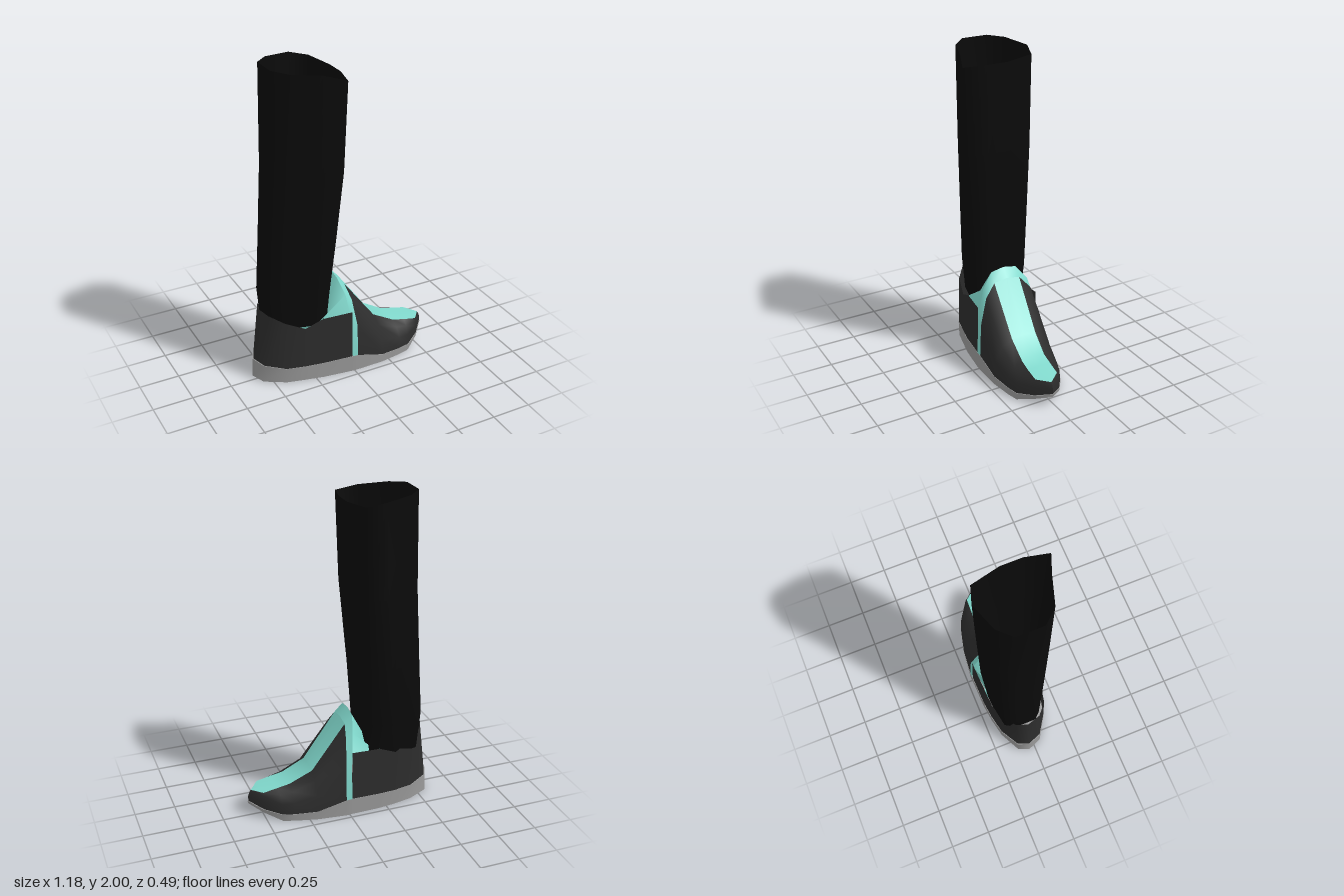
import * as THREE from 'three';

const mat = (color) => new THREE.MeshStandardMaterial({ color, side: THREE.DoubleSide });
const lerp = THREE.MathUtils.lerp;

// Skin a surface over rows of [x, y, z] points
function loft(rows, closed = false) {
  const n = rows[0].length, pos = rows.flat(2), idx = [];
  for (let r = 0; r < rows.length - 1; r++) {
    for (let c = 0; c < (closed ? n : n - 1); c++) {
      const a = r * n + c, b = r * n + (c + 1) % n;
      idx.push(a, b, a + n, b, b + n, a + n);
    }
  }
  const g = new THREE.BufferGeometry();
  g.setAttribute('position', new THREE.Float32BufferAttribute(pos, 3));
  g.setIndex(idx);
  g.computeVertexNormals();
  return g;
}

// Arched cross-section of the upper: nine points from the left base over the ridge to the right base
function arch({ xb, xt = xb, yb, yt, zl, zr, el, er }) {
  const h = yt - yb, mid = (el + er) / 2;
  const side = (z, e) => [
    [xb, yb, z],
    [xb, yb + 0.45 * h, lerp(mid, z, 0.96)],
    [lerp(xb, xt, 0.5), yb + 0.8 * h, lerp(z, e, 0.45)],
    [xt, yb + 0.97 * h, e],
  ];
  return [...side(zl, el), [xt, yt, mid], ...side(zr, er).reverse()];
}

export function createModel() {
  const model = new THREE.Group();
  const grey = mat(0x999999), dark = mat(0x2c2c2c), teal = mat(0x80d8cc), black = mat(0x0a0a0a);
  const add = (name, geometry, material) => {
    const m = new THREE.Mesh(geometry, material);
    m.name = name;
    model.add(m);
  };

  // Heel half of the upper: base line and rim, from left side round the heel to the right side
  const heelBase = [
    [-0.015, 0.11, 0.205], [-0.2, 0.105, 0.18], [-0.31, 0.1, 0.155], [-0.43, 0.1, 0.125],
    [-0.545, 0.115, 0.05], [-0.58, 0.125, -0.04], [-0.55, 0.115, -0.11],
    [-0.43, 0.1, -0.175], [-0.31, 0.1, -0.2], [-0.2, 0.105, -0.213], [-0.015, 0.11, -0.217],
  ];
  const heelRim = [
    [-0.015, 0.43, 0.2], [-0.2, 0.42, 0.17], [-0.31, 0.37, 0.15], [-0.43, 0.425, 0.118],
    [-0.51, 0.465, 0.05], [-0.54, 0.48, -0.04], [-0.51, 0.465, -0.11],
    [-0.43, 0.425, -0.17], [-0.31, 0.37, -0.195], [-0.2, 0.42, -0.205], [-0.015, 0.43, -0.213],
  ];
  add('heelPanel', loft([heelBase, heelRim]), dark);

  // Arched trim band across the instep
  const bandBack = arch({ xb: -0.015, xt: -0.06, yb: 0.11, yt: 0.64, zl: 0.207, zr: -0.22, el: 0.08, er: -0.09 });
  const bandFront = arch({ xb: 0.022, xt: -0.012, yb: 0.108, yt: 0.585, zl: 0.207, zr: -0.22, el: 0.085, er: -0.09 });
  add('trimBand', loft([bandBack, bandFront]), teal);

  // Front half of the upper
  const front = [
    bandFront,
    arch({ xb: 0.2, yb: 0.055, yt: 0.29, zl: 0.205, zr: -0.2, el: 0.08, er: -0.085 }),
    arch({ xb: 0.34, yb: 0.047, yt: 0.212, zl: 0.185, zr: -0.165, el: 0.09, er: -0.065 }),
    arch({ xb: 0.41, xt: 0.42, yb: 0.045, yt: 0.194, zl: 0.168, zr: -0.14, el: 0.095, er: -0.06 }),
    arch({ xb: 0.51, xt: 0.505, yb: 0.065, yt: 0.175, zl: 0.102, zr: -0.07, el: 0.095, er: -0.055 }),
    arch({ xb: 0.583, xt: 0.565, yb: 0.09, yt: 0.165, zl: 0.02, zr: 0.02, el: 0.02, er: 0.02 }),
  ];
  const columns = (a, b) => loft(front.map((row) => row.slice(a, b)));
  add('leftFrontPanel', columns(0, 4), dark);
  add('instepStripe', columns(3, 6), teal);
  add('rightFrontPanel', columns(5, 9), dark);

  // Tongue, sloping back from the band into the shoe
  const tongueTop = bandBack.slice(1, 8);
  const tongueLow = tongueTop.map(([, , z], i) => [-0.2, 0.35 + 0.07 * (Math.abs(i - 3) / 3) ** 2, z * (z > 0 ? 0.83 : 0.94)]);
  const tongueFoot = tongueLow.map(([x, , z]) => [x + 0.01, 0.115, z]);
  add('tongue', loft([tongueTop, tongueLow, tongueFoot]), teal);

  // Sole: follows the base of the upper all the way round, lifting at the toe
  const outline = [
    ...heelBase,
    ...front.map((row) => row[8]),
    ...front.slice(0, -1).map((row) => row[0]).reverse(),
  ];
  const soleTop = outline.map(([x, y, z]) => [x * 1.01, y, z * 1.01]);
  const soleBottom = outline.map(([x, , z]) => [x < -0.5 ? x * 1.018 : x, Math.max(0, (x - 0.41) * 0.4), z]);
  const centreOf = (loop, y) => loop.map(([x]) => [x * 0.85, y(x * 0.85), -0.005]);
  add('soleWall', loft([soleBottom, soleTop], true), grey);
  add('soleBottom', loft([centreOf(soleBottom, (x) => Math.max(0, (x - 0.41) * 0.4)), soleBottom], true), grey);
  add('insole', loft([soleTop, centreOf(soleTop, (x) => (x < 0.03 ? 0.105 : 0.06))], true), grey);

  // Leg sleeve: an open tube between an ankle ring and a wider, uneven top ring
  const ankle = [
    [-0.115, -0.05], [-0.115, 0.08], [-0.15, 0.155], [-0.25, 0.145], [-0.42, 0.1],
    [-0.512, 0.04], [-0.512, -0.11], [-0.47, -0.185], [-0.3, -0.215], [-0.14, -0.2],
  ];
  const cuff = [
    [-0.045, 1.945, -0.03], [-0.045, 1.945, 0.1], [-0.075, 1.94, 0.245], [-0.2, 1.975, 0.195], [-0.37, 1.99, 0.14],
    [-0.45, 2, 0.055], [-0.45, 2, -0.11], [-0.37, 1.995, -0.19], [-0.2, 1.98, -0.245], [-0.09, 1.955, -0.21],
  ];
  const ring = (y, t) => ankle.map(([x, z], i) => [lerp(x, cuff[i][0], t), y, lerp(z, cuff[i][2], t)]);
  const tucked = ankle.map(([x, z]) => [lerp(-0.31, x, 0.93), 0.36, lerp(-0.03, z, 0.88)]);
  add('legSleeve', loft([tucked, ring(0.58, 0), ring(0.95, 0.38), ring(1.4, 0.8), cuff], true), black);

  return model;
}
